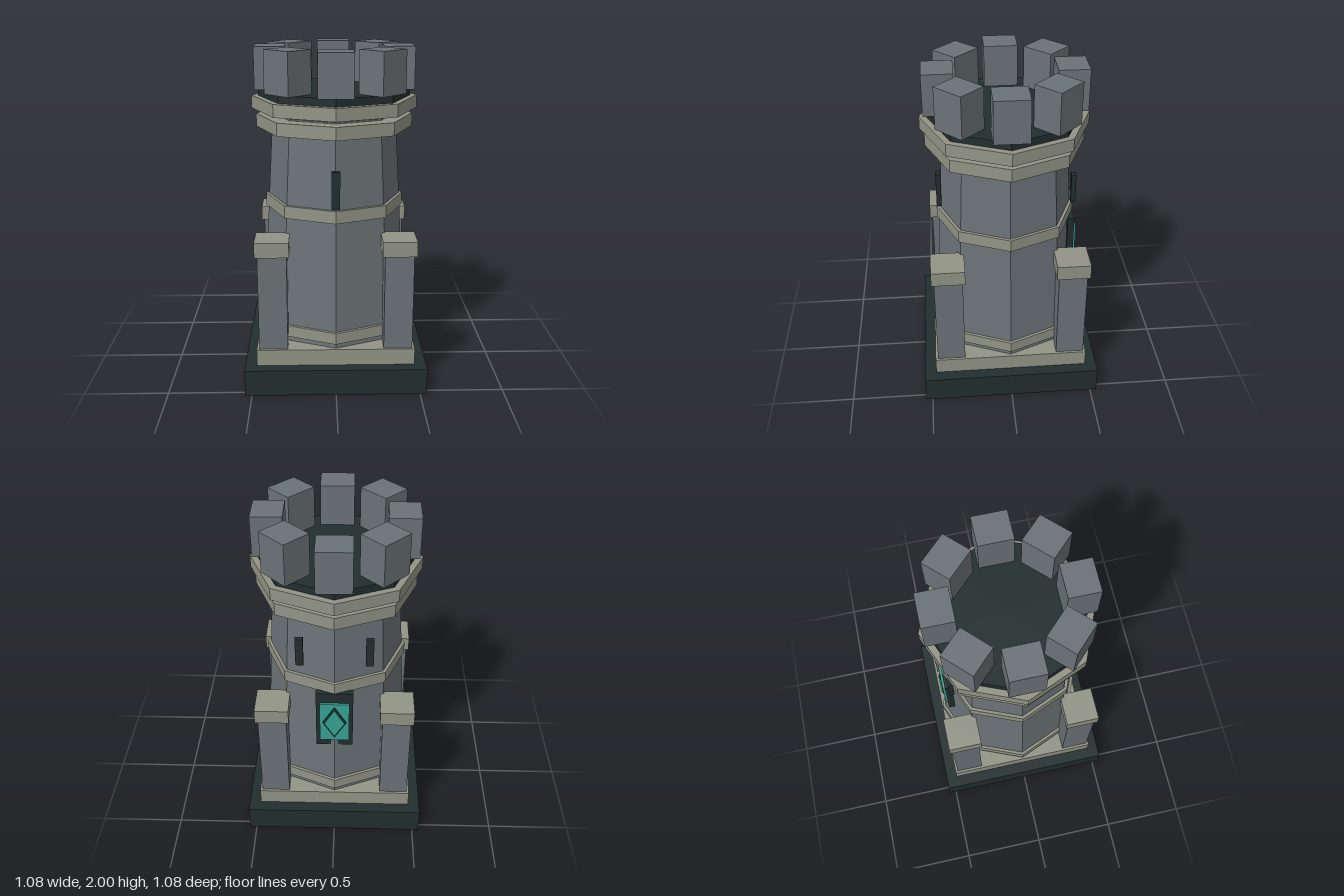
import * as THREE from 'three';

const material = (name, color) => {
  const m = new THREE.MeshStandardMaterial({ color, flatShading: true });
  m.name = name;
  return m;
};

export function createModel() {
  const stone = material('grey stone', 0x6b7276);
  const trim = material('pale trim', 0x929486);
  const dark = material('dark slate', 0x222e2e);
  const teal = material('teal glass', 0x35a394);

  const tower = new THREE.Group();
  tower.name = 'tower';

  const add = (name, geometry, mat, x, y, z) => {
    const mesh = new THREE.Mesh(geometry, mat);
    mesh.name = name;
    mesh.position.set(x, y, z);
    tower.add(mesh);
    return mesh;
  };
  // Box standing on y0 and reaching y1
  const box = (name, mat, w, d, y0, y1, x = 0, z = 0) =>
    add(name, new THREE.BoxGeometry(w, y1 - y0, d), mat, x, (y0 + y1) / 2, z);
  // Eight-sided drum with corners on the x and z axes
  const drum = (name, mat, rBottom, rTop, y0, y1) =>
    add(name, new THREE.CylinderGeometry(rTop, rBottom, y1 - y0, 8), mat, 0, (y0 + y1) / 2, 0);

  // Square footing
  box('basePlate', dark, 1.08, 1.08, 0, 0.16);
  box('baseStep', trim, 0.94, 0.94, 0.16, 0.26);

  // Tapered body and its trim bands
  drum('towerBody', stone, 0.452, 0.37, 0.26, 1.605);
  drum('footBand', trim, 0.465, 0.465, 0.29, 0.36);
  drum('middleBand', trim, 0.42, 0.42, 1.025, 1.1);
  drum('upperBand', trim, 0.47, 0.47, 1.52, 1.597);
  drum('crownBand', trim, 0.495, 0.495, 1.63, 1.705);
  drum('roofDeck', dark, 0.455, 0.455, 1.705, 1.75);

  // Corner posts with caps
  for (const sx of [-1, 1]) for (const sz of [-1, 1]) {
    box('cornerPost', stone, 0.17, 0.17, 0.26, 0.84, sx * 0.37, sz * 0.37);
    box('cornerPostCap', trim, 0.2, 0.2, 0.84, 0.93, sx * 0.37, sz * 0.37);
  }

  // Ring of battlements
  for (let i = 0; i < 8; i++) {
    const a = (i * Math.PI) / 4;
    box('battlement', stone, 0.2, 0.18, 1.75, 2, 0.38 * Math.sin(a), 0.38 * Math.cos(a)).rotation.y = a;
  }

  // Slit windows
  box('frontSlit', dark, 0.05, 0.03, 1.11, 1.33, 0, 0.403);
  for (const sx of [-1, 1]) box('backSlit', dark, 0.045, 0.028, 1.22, 1.4, sx * 0.2, -0.383);

  // Back window: frame, pane and raised diamond with a dark outline
  box('windowFrame', dark, 0.22, 0.04, 0.63, 1.03, 0, -0.4);
  box('windowPane', teal, 0.175, 0.014, 0.68, 0.96, 0, -0.427);
  const diamond = (name, mat, w, h, depth, z) => {
    const shape = new THREE.Shape([[w, 0], [0, h], [-w, 0], [0, -h]].map(([x, y]) => new THREE.Vector2(x, y)));
    add(name, new THREE.ExtrudeGeometry(shape, { depth, bevelEnabled: false }), mat, 0, 0.82, z);
  };
  diamond('diamondOutline', dark, 0.072, 0.12, 0.006, -0.439);
  diamond('diamondPane', teal, 0.06, 0.1, 0.01, -0.446);

  return tower;
}
